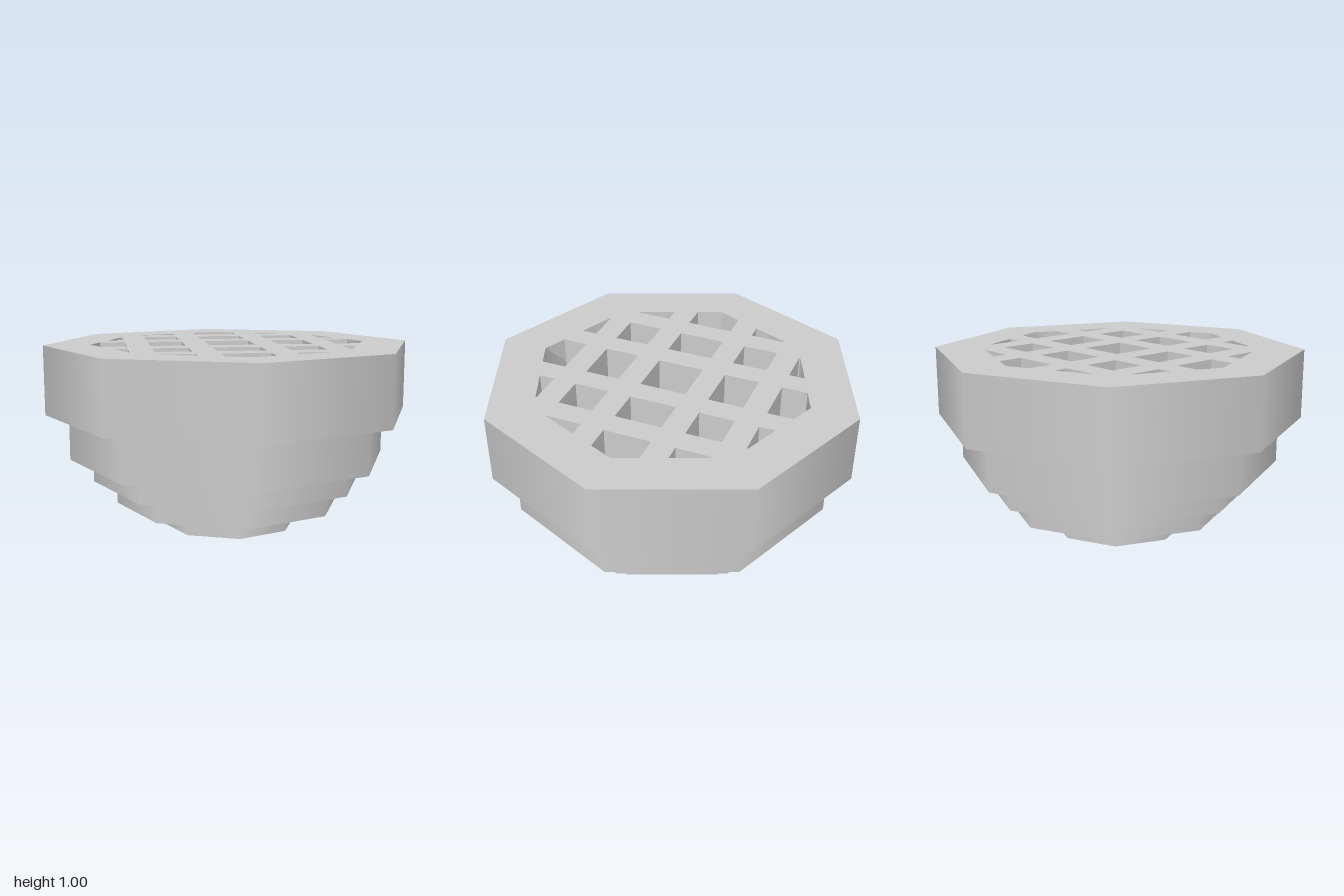
import * as THREE from 'three';
import { mergeGeometries } from 'three/addons/utils/BufferGeometryUtils.js';

const SIDES = 8;
const material = new THREE.MeshStandardMaterial({ color: 0xcccccc });

// Eight-sided turned surface: smooth around, sharp at every profile corner.
function turned(name, profile) {
  const pts = profile.map(([r, y]) => new THREE.Vector2(r, y));
  const strips = pts.slice(1).map((p, i) => new THREE.LatheGeometry([pts[i], p], SIDES));
  const mesh = new THREE.Mesh(mergeGeometries(strips), material);
  mesh.name = name;
  return mesh;
}

// Corners of an octagon with points on the axes.
function octagon(r) {
  return Array.from({ length: SIDES }, (_, i) => {
    const a = (i * Math.PI * 2) / SIDES;
    return new THREE.Vector2(r * Math.cos(a), r * Math.sin(a));
  });
}

// Trims a convex polygon to the octagon of radius r.
function clipToOctagon(poly, r) {
  const apothem = r * Math.cos(Math.PI / SIDES);
  for (let i = 0; i < SIDES; i++) {
    const a = ((i + 0.5) * Math.PI * 2) / SIDES;
    const n = new THREE.Vector2(Math.cos(a), Math.sin(a));
    const out = [];
    poly.forEach((p, k) => {
      const q = poly[(k + 1) % poly.length];
      const dp = apothem - p.dot(n), dq = apothem - q.dot(n);
      if (dp >= 0) out.push(p);
      if (dp * dq < 0) out.push(p.clone().lerp(q, dp / (dp - dq)));
    });
    poly = out;
  }
  return poly;
}

// Grate: an octagonal plate pierced by the gaps between crossing bars.
function grate(opening, top, thickness, plateRadius) {
  const gaps = [[-0.75, -0.5625], [-0.4375, -0.25], [-0.125, 0.125], [0.25, 0.4375], [0.5625, 0.75]];
  const shape = new THREE.Shape(octagon(plateRadius));
  for (const [x0, x1] of gaps) {
    for (const [z0, z1] of gaps) {
      const cell = [[x0, z0], [x1, z0], [x1, z1], [x0, z1]].map(([x, z]) => new THREE.Vector2(x, z));
      const hole = clipToOctagon(cell, opening);
      if (hole.length > 2) shape.holes.push(new THREE.Path(hole));
    }
  }
  const geo = new THREE.ExtrudeGeometry(shape, { depth: thickness, bevelEnabled: false });
  geo.rotateX(-Math.PI / 2).translate(0, top - thickness, 0);
  const mesh = new THREE.Mesh(geo, material);
  mesh.name = 'grate';
  return mesh;
}

export function createModel() {
  const model = new THREE.Group();
  model.name = 'steppedBowl';

  // Tiers from the foot up: outer radius, inner radius, bottom, top
  const tiers = [
    ['foot', 0.375, 0, 0, 0.125],
    ['lowerTier', 0.625, 0.3125, 0.125, 0.25],
    ['middleTier', 0.75, 0.5, 0.25, 0.375],
    ['upperTier', 0.875, 0.625, 0.375, 0.625],
    ['rimTier', 1, 0.75, 0.625, 1],
  ];
  let below = [0, 0];
  for (const [name, outer, inner, y0, y1] of tiers) {
    const tier = new THREE.Group();
    tier.name = name;
    // Underside ledge and outer wall
    tier.add(turned(name + 'Outside', [[below[0], y0], [outer, y0], [outer, y1]]));
    // Inner wall and the step at its bottom
    if (inner) tier.add(turned(name + 'Inside', [[inner, y1], [inner, y0], [below[1], y0]]));
    model.add(tier);
    below = [outer, inner];
  }

  // Flat rim around the grate
  const plate = 0.9;
  model.add(turned('rimTop', [[1, 1], [plate, 1]]));
  model.add(grate(0.75, 1, 0.25, plate));
  return model;
}
